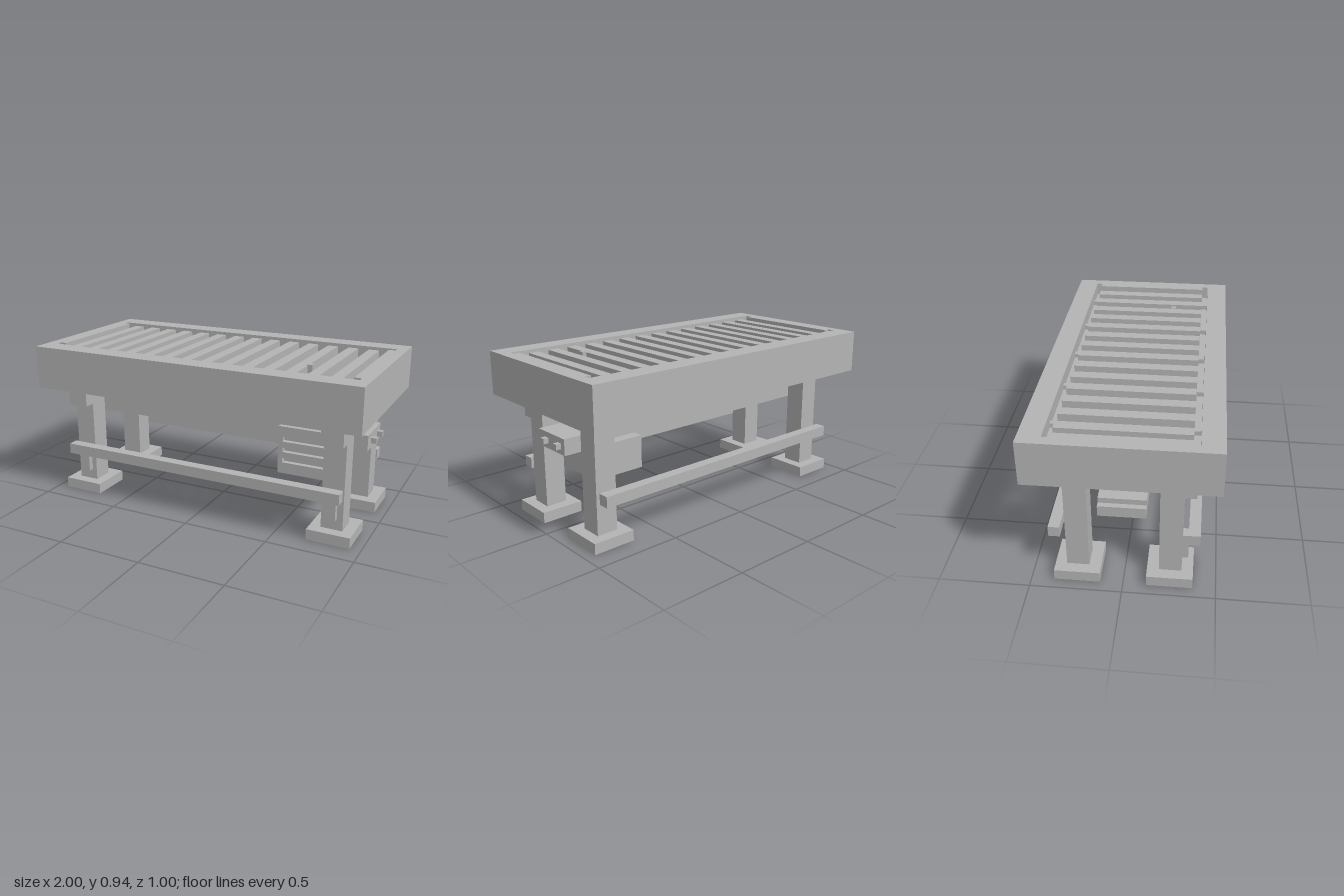
import * as THREE from 'three';

export function createModel() {
  const model = new THREE.Group();
  const grey = new THREE.MeshStandardMaterial({ color: 0xb4b4b4 });
  grey.name = 'plain grey';

  function add(name, geometry) {
    const mesh = new THREE.Mesh(geometry, grey);
    mesh.name = name;
    model.add(mesh);
    return mesh;
  }
  // Box given by its lower and upper limits on each axis
  function box(name, x0, x1, y0, y1, z0, z1) {
    const mesh = add(name, new THREE.BoxGeometry(x1 - x0, y1 - y0, z1 - z0));
    mesh.position.set((x0 + x1) / 2, (y0 + y1) / 2, (z0 + z1) / 2);
    return mesh;
  }
  // Same box on either side of x = 0
  function pair(name, x0, x1, ...rest) {
    box(name, x0, x1, ...rest);
    box(name, -x1, -x0, ...rest);
  }
  function outline(target, points) {
    points.forEach(([x, y], i) => (i ? target.lineTo(x, y) : target.moveTo(x, y)));
    target.closePath();
    return target;
  }
  const rect = (x0, x1, y0, y1) => [[x0, y0], [x1, y0], [x1, y1], [x0, y1]];

  // Deep bed frame with an opening that widens into grooves along both sides
  const bed = outline(new THREE.Shape(), rect(-1, 1, -0.5, 0.5));
  bed.holes.push(outline(new THREE.Path(), [
    [-0.94, -0.38], [0.94, -0.38], [0.94, -0.345], [0.9, -0.345], [0.9, 0.345], [0.94, 0.345],
    [0.94, 0.38], [-0.94, 0.38], [-0.94, 0.345], [-0.9, 0.345], [-0.9, -0.345], [-0.94, -0.345],
  ]));
  const bedGeometry = new THREE.ExtrudeGeometry(bed, { depth: 0.25, bevelEnabled: false });
  bedGeometry.rotateX(-Math.PI / 2).translate(0, 0.69, 0);
  add('bedFrame', bedGeometry);

  // Cross slats
  for (let i = 0; i < 14; i++) {
    const x = -0.8125 + 0.125 * i;
    box('slat', x - 0.031, x + 0.031, 0.865, 0.93, -0.345, 0.345);
  }
  box('slatCatch', 0.59, 0.62, 0.89, 0.935, 0.15, 0.18);

  // Slat rails and their small brackets
  for (const s of [-1, 1]) {
    const z0 = s > 0 ? 0.345 : -0.38;
    box('slatRail', -0.94, 0.94, 0.81, 0.865, z0, z0 + 0.035);
    for (const x of [-0.735, -0.36, 0.01, 0.39, 0.765]) {
      box('railBracket', x - 0.015, x + 0.015, 0.865, 0.89, z0, z0 + 0.035);
    }
    // Legs, feet and long stretcher
    const leg = s > 0 ? [0.19, 0.3125] : [-0.3125, -0.19];
    const foot = s > 0 ? [0.125, 0.375] : [-0.375, -0.125];
    const bar = s > 0 ? [0.3425, 0.405] : [-0.405, -0.3425];
    pair('leg', 0.75, 0.875, 0.0625, 0.69, ...leg);
    pair('foot', 0.6875, 0.9375, 0, 0.0625, ...foot);
    box('stretcher', -0.875, 0.875, 0.2525, 0.315, ...bar);
  }

  // Front leg brackets
  pair('upperBracket', 0.75, 0.875, 0.565, 0.69, 0.3125, 0.377);
  pair('lowerBracket', 0.78, 0.84, 0.127, 0.283, 0.3125, 0.345);

  // Drive tray and the hooks on its end
  box('driveTray', -0.94, 0.935, 0.472, 0.533, -0.125, 0.125);
  box('trayTop', -0.91, 0.935, 0.533, 0.564, -0.125, 0.125);
  for (const z of [0.032, -0.092]) box('trayHook', 0.92, 0.965, 0.502, 0.533, z, z + 0.031);

  // Motor housing with a slotted front panel and a rear cover
  box('motorHousing', 0.4375, 0.75, 0.285, 0.566, -0.126, 0.16);
  const panel = outline(new THREE.Shape(), rect(0.4375, 0.75, 0.285, 0.566));
  for (const y of [0.35, 0.413, 0.476]) {
    panel.holes.push(outline(new THREE.Path(), rect(0.465, 0.715, y, y + 0.027)));
  }
  const panelGeometry = new THREE.ExtrudeGeometry(panel, { depth: 0.03, bevelEnabled: false });
  panelGeometry.translate(0, 0, 0.16);
  add('ventPanel', panelGeometry);
  box('rearCover', 0.48, 0.715, 0.315, 0.502, -0.19, -0.126);

  // Gear stack above the motor
  box('gearBase', 0.5, 0.685, 0.566, 0.627, -0.03, 0.125);
  box('gearLip', 0.53, 0.715, 0.566, 0.597, 0, 0.157);
  box('gearStep', 0.53, 0.655, 0.597, 0.627, 0.125, 0.157);
  box('gearHub', 0.56, 0.65, 0.627, 0.659, 0.002, 0.095);
  box('gearCap', 0.56, 0.655, 0.659, 0.69, 0.033, 0.126);

  return model;
}
